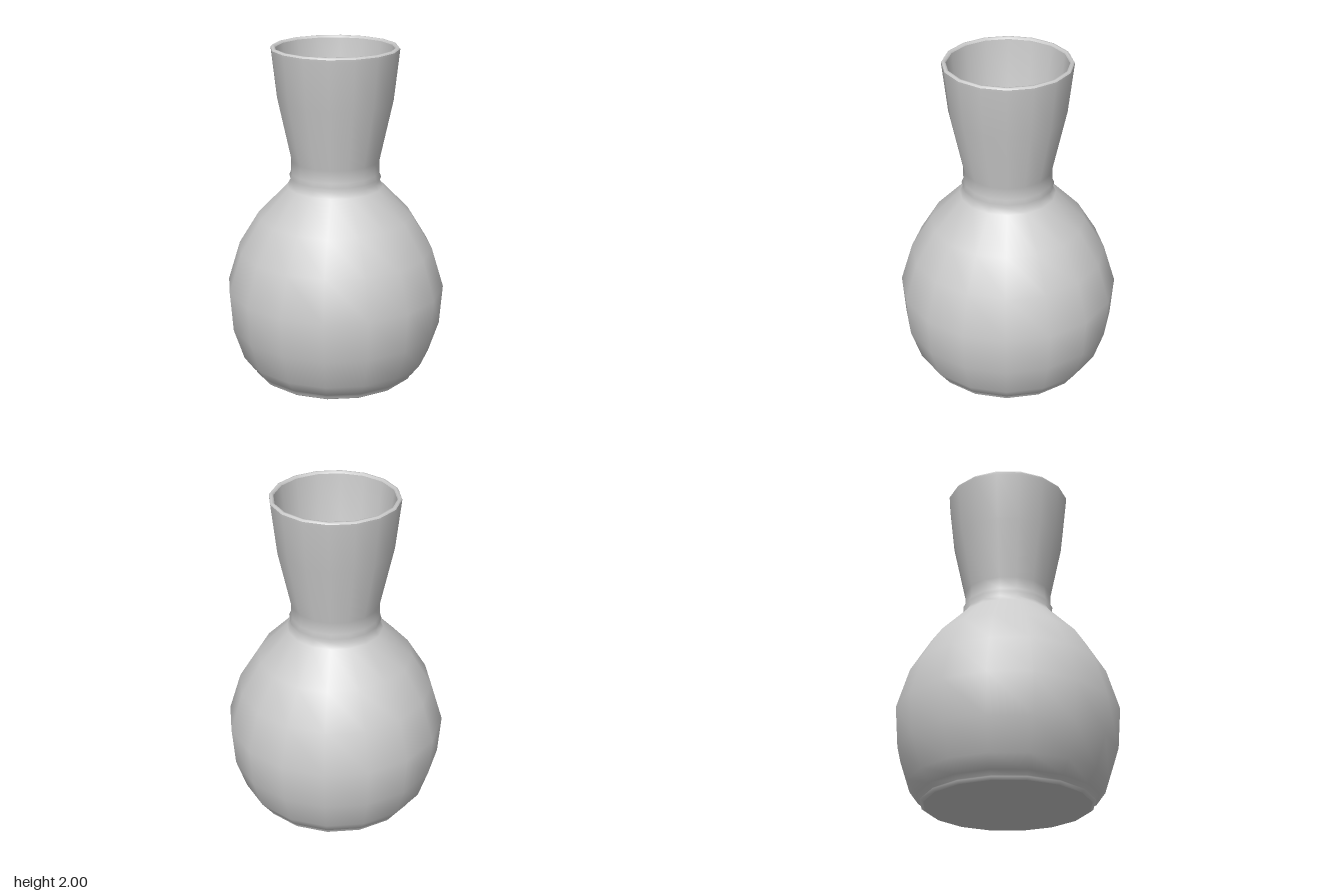
import * as THREE from 'three';

const SIDES = 16;

// Turn a list of [radius, height] pairs around the vertical axis.
function turned(name, profile) {
  const points = profile.map(([r, y]) => new THREE.Vector2(r, y));
  const mesh = new THREE.Mesh(
    new THREE.LatheGeometry(points, SIDES),
    new THREE.MeshStandardMaterial({ color: 0xcccccc, side: THREE.DoubleSide })
  );
  mesh.name = name;
  return mesh;
}

export function createModel() {
  const vase = new THREE.Group();
  vase.name = 'vase';

  // Flat underside
  vase.add(turned('base', [[0, 0], [0.48, 0]]));

  // Foot, bulb, collar bead and flared neck
  vase.add(turned('body', [
    [0.48, 0], [0.5, 0.015], [0.49, 0.025], [0.52, 0.045], [0.575, 0.12],
    [0.637, 0.31], [0.655, 0.55], [0.582, 0.79], [0.46, 0.99],
    [0.285, 1.17], [0.264, 1.205], [0.273, 1.23], [0.262, 1.255],
    [0.262, 1.33], [0.34, 1.69], [0.372, 1.975], [0.373, 1.99],
  ]));

  // Rounded lip
  vase.add(turned('rim', [
    [0.373, 1.99], [0.366, 2], [0.354, 2], [0.347, 1.988],
  ]));

  // Hollow of the neck, closing to a funnel at the throat
  vase.add(turned('neckInterior', [
    [0.347, 1.988], [0.315, 1.69], [0.235, 1.33], [0.21, 1.22],
    [0.08, 1.06], [0, 1.03],
  ]));

  return vase;
}
